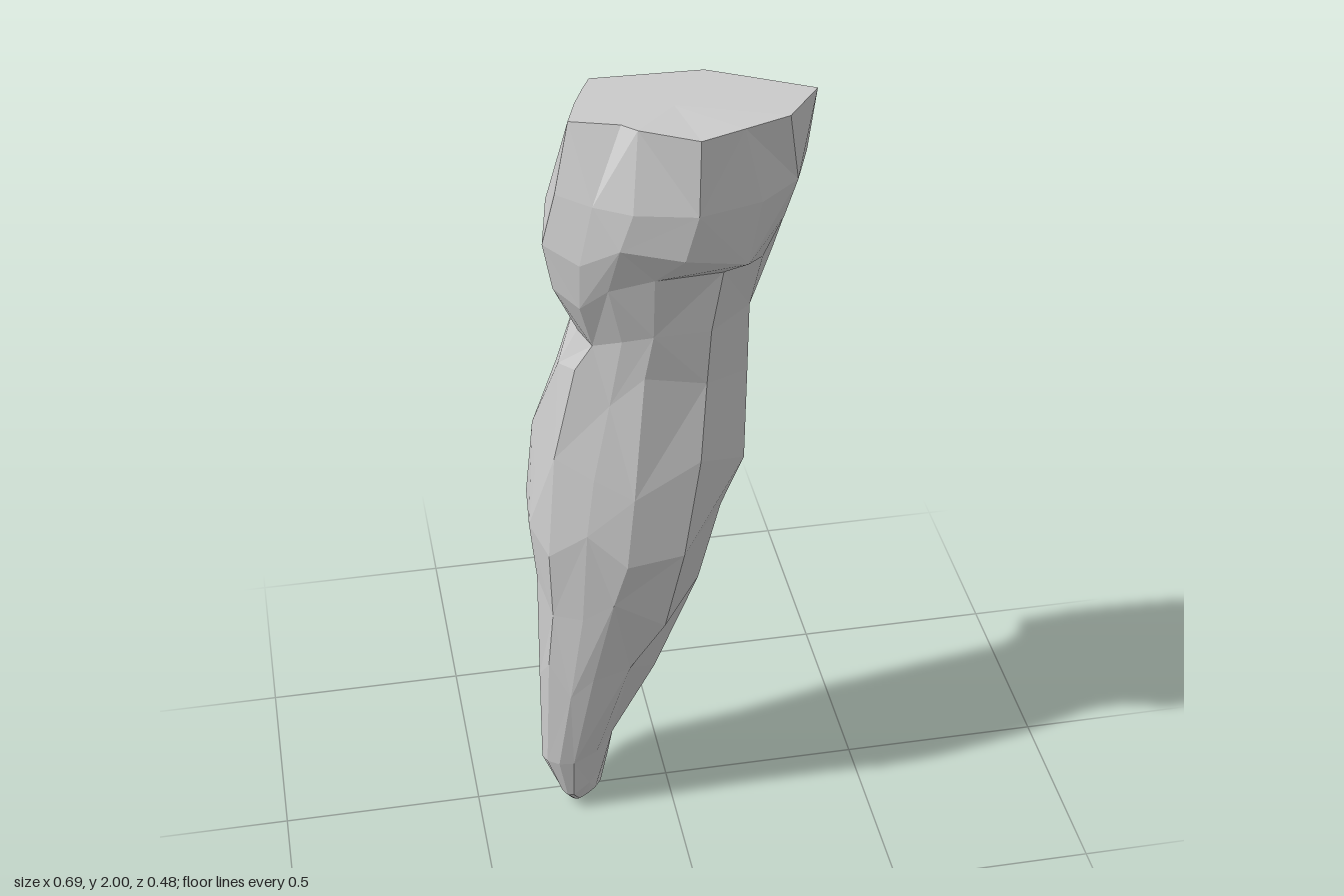
import * as THREE from 'three';

const SIDES = 12; // ring points run +x, +z, -x, -z

// Flat upper surface of the crown: x, z
const TOP = [
  [0.345, 0], [0.25, 0.145], [0.14, 0.19], [0.035, 0.23], [-0.09, 0.155], [-0.12, 0.115],
  [-0.23, 0.07], [-0.2, -0.03], [-0.17, -0.11], [-0.145, -0.17], [0.12, -0.165], [0.23, -0.085],
];

// Cross-sections: y, xMin, xMax, zMin, zMax, x at zMin, x at zMax, z at xMin, z at xMax
const CROWN = [
  [1.82, -0.265, 0.33, -0.2, 0.24, -0.1, 0.03, 0.08, -0.02],
  [1.69, -0.295, 0.305, -0.225, 0.238, -0.09, 0.0, 0.07, -0.05],
  [1.58, -0.275, 0.27, -0.24, 0.19, -0.09, -0.06, 0.08, -0.07],
];
const ROOT = [
  [1.45, -0.215, 0.21, -0.175, 0.172, -0.03, -0.06, 0.04, -0.07],
  [1.33, -0.26, 0.2, -0.163, 0.166, 0.0, -0.08, 0.02, -0.07],
  [1.08, -0.32, 0.19, -0.16, 0.19, 0.0, -0.11, 0.0, -0.06],
  [0.88, -0.342, 0.132, -0.16, 0.2, -0.02, -0.13, 0.02, -0.06],
  [0.68, -0.328, 0.085, -0.155, 0.175, -0.05, -0.16, 0.03, -0.06],
  [0.45, -0.333, -0.015, -0.152, 0.14, -0.09, -0.21, 0.05, -0.08],
  [0.17, -0.335, -0.115, -0.148, 0.108, -0.15, -0.26, 0.06, -0.09],
  [0.05, -0.29, -0.145, -0.09, 0.093, -0.18, -0.26, 0.05, -0.06],
  [0.0, -0.26, -0.175, -0.025, 0.055, -0.195, -0.24, 0.045, -0.005],
];

// Inward pull of single ring points, as a fraction of their distance
const CROWN_PULL = { 1: 0.05, 2: 0.05, 4: 0.1, 5: 0.14, 7: 0.03, 8: 0.1, 11: -0.05 };
const ROOT_PULL = { 1: -0.12, 2: -0.13, 4: 0.1, 5: 0.03, 7: -0.14, 8: -0.1 };
// How strongly each root section follows its pull; the tip is pinched instead
const ROOT_PULL_AMOUNT = [0.6, 0.9, 1, 1, 0.8, 0.4, -0.4, -1, -1.2];

// Four quarter curves joined at the extreme points of a section
function ring([y, x0, x1, z0, z1, xz0, xz1, zx0, zx1], power, pull, lift) {
  return Array.from({ length: SIDES }, (_, j) => {
    const a = (j / SIDES) * Math.PI * 2;
    const c = Math.cos(a), s = Math.sin(a);
    const cx = s >= 0 ? xz1 : xz0, cz = c >= 0 ? zx1 : zx0;
    const keep = 1 - pull(j);
    const x = cx + ((c >= 0 ? x1 : x0) - cx) * Math.abs(c) ** power * keep;
    const z = cz + ((s >= 0 ? z1 : z0) - cz) * Math.abs(s) ** power * keep;
    return new THREE.Vector3(x, y + lift(j), z);
  });
}

// Skin between successive rings, with optional end caps
function loft(rings, capTop, capBottom) {
  const pos = [];
  const tri = (...v) => v.forEach((p) => pos.push(p.x, p.y, p.z));
  const middle = (r) => r.reduce((m, p) => m.add(p), new THREE.Vector3()).divideScalar(SIDES);
  for (let j = 0; j < SIDES; j++) {
    const k = (j + 1) % SIDES;
    for (let i = 0; i < rings.length - 1; i++) {
      const a = rings[i][j], b = rings[i][k], c = rings[i + 1][j], d = rings[i + 1][k];
      if ((i + j) % 2) { tri(a, b, c); tri(b, d, c); }
      else { tri(a, b, d); tri(a, d, c); }
    }
    if (capTop) tri(middle(rings[0]), rings[0][k], rings[0][j]);
    const end = rings[rings.length - 1];
    if (capBottom) tri(middle(end), end[j], end[k]);
  }
  const geo = new THREE.BufferGeometry();
  geo.setAttribute('position', new THREE.Float32BufferAttribute(pos, 3));
  geo.computeVertexNormals();
  return geo;
}

export function createModel() {
  const group = new THREE.Group();
  group.name = 'tooth';
  const material = new THREE.MeshStandardMaterial({ color: 0xcccccc, flatShading: true });

  // Upper surface slopes gently to the back
  const top = TOP.map(([x, z]) => new THREE.Vector3(x, Math.min(2, 1.985 + z * 0.094), z));

  // Crown margin waves up and down and hangs lowest at the back
  const waves = [
    [0, 0, 0, 0, 0, 0, 0, 0, 0, 0, 0, 0],
    [0, 0.03, -0.03, 0.02, 0.04, -0.02, 0, 0.03, -0.02, -0.03, 0, 0.03],
    [-0.03, 0.02, 0.04, 0.06, 0.03, -0.03, 0, 0.03, -0.04, -0.12, -0.07, 0.0],
  ];
  const crown = CROWN.map((row, i) => ring(row, 0.92, (j) => CROWN_PULL[j] || 0, (j) => waves[i][j]));

  // Root is fuller on two opposite corners, with irregular facets
  const neck = [-0.02, 0.02, 0.02, 0.03, 0.01, -0.02, -0.01, 0, -0.04, -0.09, -0.05, 0];
  const root = ROOT.map((row, i) => {
    const wave = i < 6 ? 0.05 : 0;
    return ring(row, 1.08, (j) => (ROOT_PULL[j] || 0) * ROOT_PULL_AMOUNT[i],
      (j) => (i === 0 ? neck[j] : wave * Math.sin(j * 2.3 + i * 1.7)));
  });

  const add = (name, geo) => {
    const mesh = new THREE.Mesh(geo, material);
    mesh.name = name;
    group.add(mesh);
  };
  add('crown', loft([top, ...crown], true, false));
  add('root', loft([crown[2], ...root], false, true));
  return group;
}
